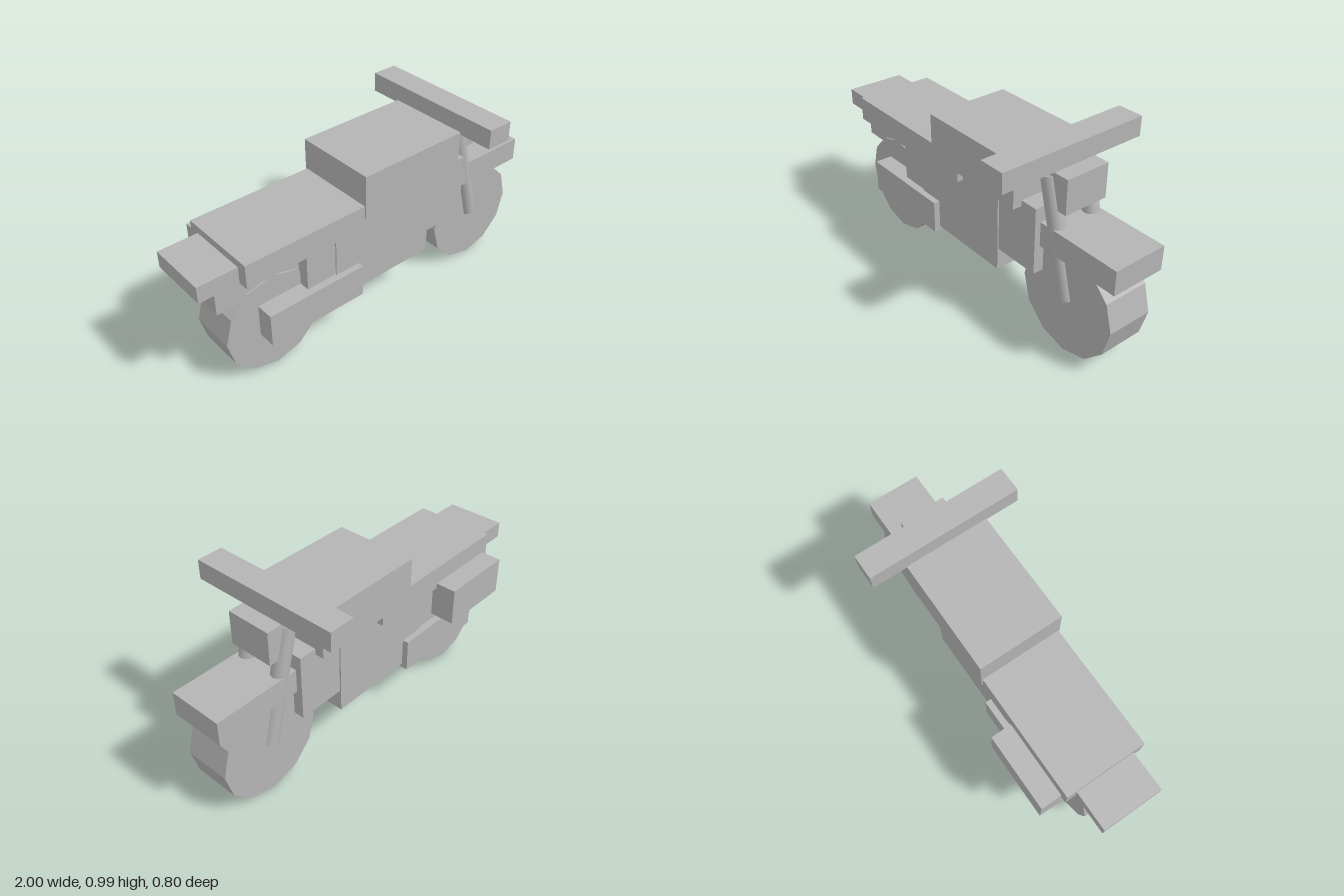
import * as THREE from 'three';

export function createModel() {
  const model = new THREE.Group();
  model.name = 'motorcycle';
  const grey = new THREE.MeshStandardMaterial({ color: 0xb4b4b4 });
  grey.name = 'grey';

  function add(name, geometry) {
    const mesh = new THREE.Mesh(geometry, grey);
    mesh.name = name;
    model.add(mesh);
    return mesh;
  }

  // Block given by its extents along each axis
  function block(name, x0, x1, y0, y1, z0, z1) {
    add(name, new THREE.BoxGeometry(x1 - x0, y1 - y0, z1 - z0))
      .position.set((x0 + x1) / 2, (y0 + y1) / 2, (z0 + z1) / 2);
  }

  // Twelve-sided wheel with faceted tread, standing on the ground
  function wheel(name, x, y, radius) {
    const geometry = new THREE.CylinderGeometry(radius, radius, 0.236, 12).toNonIndexed();
    geometry.computeVertexNormals();
    geometry.rotateX(Math.PI / 2);
    add(name, geometry).position.set(x, y, 0);
  }
  wheel('frontWheel', 0.705, 0.275, 0.275);
  wheel('rearWheel', -0.61, 0.268, 0.265);

  // Body
  block('frame', -0.455, 0.55, 0.365, 0.708, -0.173, 0.173);
  block('engine', -0.29, 0.305, 0.252, 0.69, -0.18, 0.18);
  block('fuelTank', -0.145, 0.457, 0.678, 0.905, -0.22, 0.22);
  block('seat', -0.798, 0.047, 0.622, 0.745, -0.212, 0.212);
  block('tail', -1, -0.75, 0.622, 0.707, -0.157, 0.157);
  block('rearFender', -0.9, -0.4, 0.465, 0.63, -0.11, 0.11);
  block('frontFender', 0.54, 0.998, 0.505, 0.629, -0.142, 0.142);
  block('lowerCase', -0.695, -0.155, 0.23, 0.402, -0.212, 0.212);
  block('sideCase', -0.765, -0.37, 0.457, 0.651, -0.32, -0.19);

  // Steering
  block('handlebar', 0.46, 0.595, 0.89, 0.99, -0.4, 0.4);
  block('headlight', 0.56, 0.675, 0.716, 0.89, -0.118, 0.118);

  // Slanted fork legs
  const top = new THREE.Vector2(0.55, 0.86);
  const bottom = new THREE.Vector2(0.697, 0.285);
  const along = top.clone().sub(bottom);
  for (const side of [-1, 1]) {
    const leg = add(side > 0 ? 'leftFork' : 'rightFork',
      new THREE.CylinderGeometry(0.042, 0.042, along.length(), 20));
    leg.position.set((top.x + bottom.x) / 2, (top.y + bottom.y) / 2, side * 0.102);
    leg.rotation.z = Math.atan2(-along.x, along.y);
  }

  return model;
}
